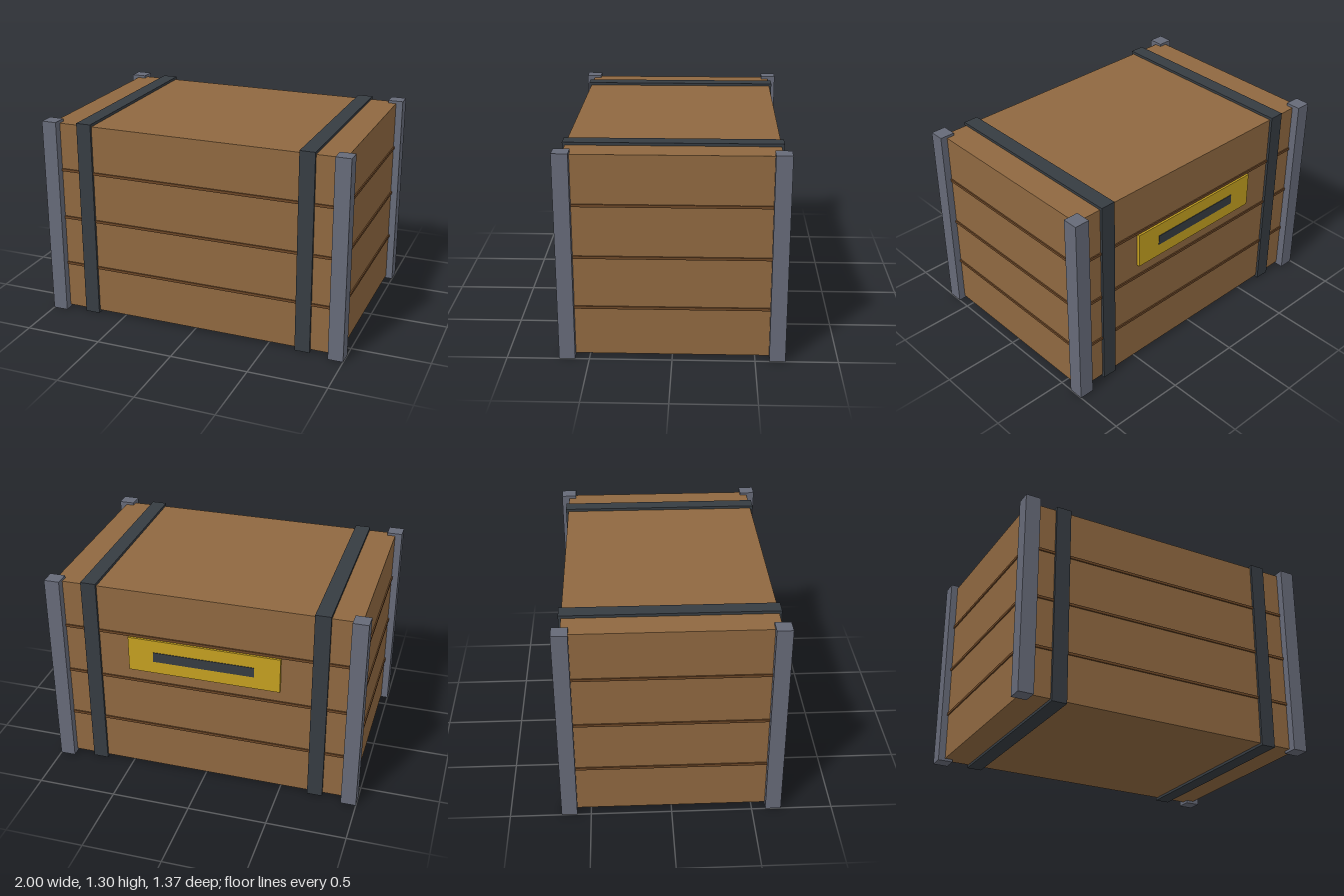
import * as THREE from 'three';

const paint = (name, color) => {
  const m = new THREE.MeshStandardMaterial({ color });
  m.name = name;
  return m;
};

export function createModel() {
  const crate = new THREE.Group();
  crate.name = 'crate';

  const wood = paint('wood', 0x8f6840);
  const darkWood = paint('dark wood', 0x6b4626);
  const steel = paint('steel', 0x666a78);
  const iron = paint('dark iron', 0x363c42);
  const brass = paint('brass', 0xc4a020);

  const H = 1.298;
  const box = (name, material, w, h, d, x, y, z) => {
    const mesh = new THREE.Mesh(new THREE.BoxGeometry(w, h, d), material);
    mesh.name = name;
    mesh.position.set(x, y, z);
    crate.add(mesh);
  };

  // Wooden body
  box('body', wood, 1.91, 1.264, 1.264, 0, H / 2, 0);

  // Raised seams between the planks, running around all four sides
  for (const i of [-1, 0, 1]) {
    box('plankSeam', darkWood, 1.926, 0.017, 1.28, 0, H / 2 + i * 0.324, 0);
  }

  // Straps wrapped around the body, and square corner posts
  for (const s of [-1, 1]) {
    box('strap', iron, 0.097, H, 1.296, s * 0.728, H / 2, 0);
    for (const t of [-1, 1]) {
      box('cornerPost', steel, 0.097, H, 0.097, s * 0.9515, H / 2, t * 0.634);
    }
  }

  // Label plate with a dark bar on the back
  box('labelPlate', brass, 0.97, 0.23, 0.022, 0, 0.848, -0.641);
  box('labelBar', iron, 0.645, 0.065, 0.008, 0, 0.848, -0.652);

  return crate;
}
